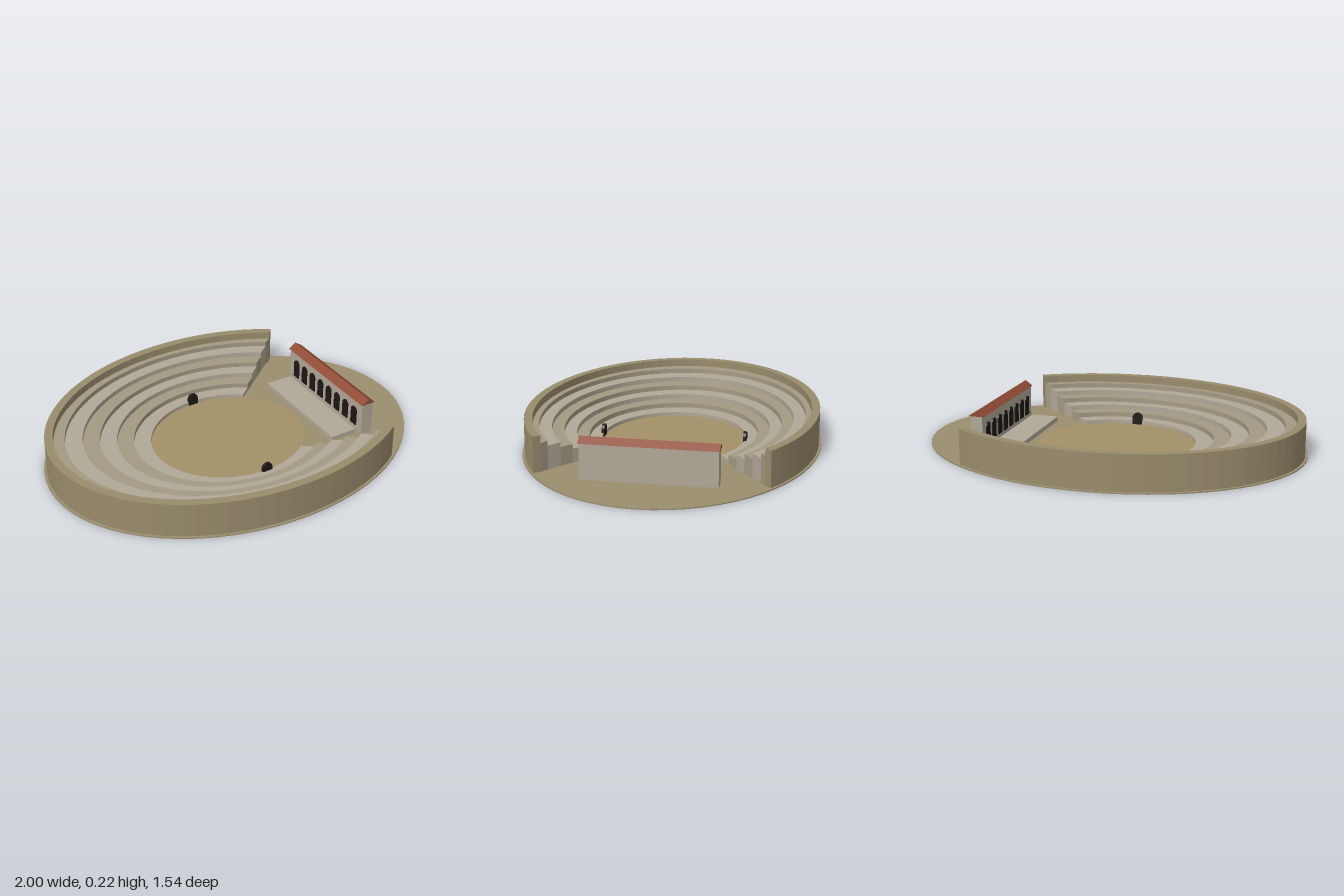
import * as THREE from 'three';

const paint = (color) => new THREE.MeshStandardMaterial({ color, flatShading: true });
const EARTH = paint(0x9a8e6e), SAND = paint(0xa49068), WALL = paint(0x998c6c);
const SEAT_LIGHT = paint(0xb0a898), SEAT_DARK = paint(0xa49a84);
const STONE = paint(0xb0a898), TILE = paint(0x8f4a34), DARK = paint(0x1c1814);

const BASE = 0.006;          // thickness of the ground slab
const GAP = Math.PI * 50 / 180; // half angle of the opening on the stage side

export function createModel() {
  const model = new THREE.Group();
  model.name = 'amphitheatre';

  const add = (name, geometry, material, x = 0, y = 0, z = 0) => {
    const mesh = new THREE.Mesh(geometry, material);
    mesh.name = name;
    mesh.position.set(x, y, z);
    model.add(mesh);
    return mesh;
  };

  // Elliptical disc standing on y = 0
  const disc = (a, b, h) => new THREE.CylinderGeometry(1, 1, h, 64).scale(a, 1, b).translate(0, h / 2, 0);

  // Part of an elliptical ring, open towards +x
  const ring = (a0, b0, a1, b1, h) => {
    const s = new THREE.Shape();
    s.absellipse(0, 0, a1, b1, GAP, 2 * Math.PI - GAP, false);
    s.absellipse(0, 0, a0, b0, 2 * Math.PI - GAP, GAP, true);
    s.closePath();
    return new THREE.ExtrudeGeometry(s, { depth: h, bevelEnabled: false, curveSegments: 28 }).rotateX(-Math.PI / 2);
  };

  // Round-headed slab, centred in its thickness, facing z
  const arch = (w, h, d) => {
    const r = w / 2, s = new THREE.Shape();
    s.moveTo(-r, 0);
    s.lineTo(r, 0);
    s.lineTo(r, h - r);
    s.absarc(0, h - r, r, 0, Math.PI, false);
    s.closePath();
    return new THREE.ExtrudeGeometry(s, { depth: d, bevelEnabled: false, curveSegments: 6 }).translate(0, 0, -d / 2);
  };

  // Ground and arena floor
  add('ground', disc(1, 0.768, BASE), EARTH);
  add('arenaFloor', disc(0.415, 0.373, BASE + 0.003), SAND);

  // Seating tiers, rising outwards
  const edgeX = [0.415, 0.51, 0.602, 0.694, 0.786, 0.88, 0.942];
  const edgeZ = [0.373, 0.436, 0.498, 0.559, 0.62, 0.682, 0.712];
  for (let i = 0; i < 6; i++) {
    add(`seatTier${i + 1}`, ring(edgeX[i], edgeZ[i], edgeX[i + 1], edgeZ[i + 1], 0.028 + 0.025 * i),
      i % 2 ? SEAT_DARK : SEAT_LIGHT);
  }

  // Outer wall
  add('outerWall', ring(0.942, 0.712, 0.985, 0.755, 0.192), WALL);

  // Arched gateways at both ends of the arena
  for (const side of [-1, 1]) {
    add(side > 0 ? 'frontGateway' : 'backGateway', arch(0.055, 0.07, 0.016), DARK, 0, 0.002, side * 0.375);
  }

  // Stage platform
  add('stagePlatform', new THREE.BoxGeometry(0.15, 0.03, 0.62), STONE, 0.52, 0.015, 0);

  // Stage building with a row of arched niches
  add('stageBuilding', new THREE.BoxGeometry(0.065, 0.19, 0.675), STONE, 0.6455, 0.095, 0);
  for (let i = 0; i < 8; i++) {
    const niche = add(`niche${i + 1}`, arch(0.046, 0.105, 0.01), DARK, 0.612, 0.04, (i - 3.5) * 0.077);
    niche.rotation.y = -Math.PI / 2;
  }

  // Gabled roof
  const gable = new THREE.Shape();
  gable.moveTo(-0.041, 0);
  gable.lineTo(0.041, 0);
  gable.lineTo(0, 0.028);
  gable.closePath();
  add('roof', new THREE.ExtrudeGeometry(gable, { depth: 0.685, bevelEnabled: false }).translate(0, 0, -0.3425),
    TILE, 0.6455, 0.188, 0);

  return model;
}
